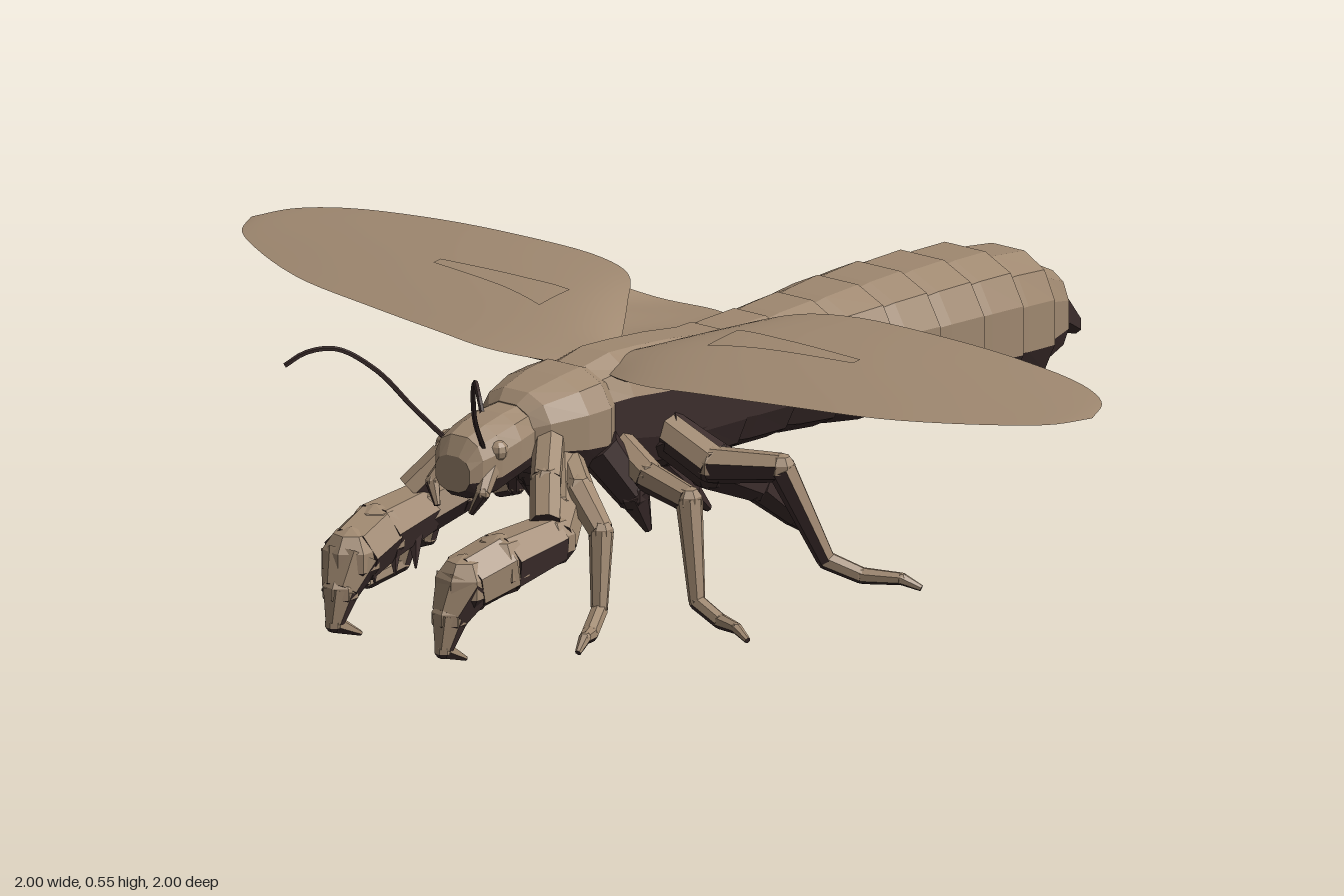
import * as THREE from 'three';
import { mergeGeometries } from 'three/addons/utils/BufferGeometryUtils.js';

const material = (name, color, flatShading) => {
  const m = new THREE.MeshStandardMaterial({ color, flatShading });
  m.name = name;
  return m;
};
const shell = material('tan shell', 0x9f8870, true);
const belly = material('dark belly', 0x3c2d2c, true);
const wingTop = material('tan wing', 0x9f8870, false);
const wingUnder = material('dark wing underside', 0x352a26, false);

// Splits a geometry in two groups: tan faces, then faces whose normal points below the limit
function twoTone(geo, limit) {
  const p = geo.index ? geo.toNonIndexed().attributes.position : geo.attributes.position;
  const upper = [], lower = [];
  const tri = new THREE.Triangle(), n = new THREE.Vector3();
  for (let i = 0; i < p.count; i += 3) {
    tri.setFromAttributeAndIndices(p, i, i + 1, i + 2);
    if (tri.getArea() < 1e-9) continue;
    const list = tri.getNormal(n).y < limit ? lower : upper;
    for (const v of [tri.a, tri.b, tri.c]) list.push(v.x, v.y, v.z);
  }
  const g = new THREE.BufferGeometry();
  g.setAttribute('position', new THREE.Float32BufferAttribute(upper.concat(lower), 3));
  g.addGroup(0, upper.length / 3, 0);
  g.addGroup(upper.length / 3, lower.length / 3, 1);
  g.computeVertexNormals();
  return g;
}

// Closed body from rounded sections: [z, bottom, top, half width], listed front to back
function loft(sections, sides = 12) {
  const pos = [], idx = [];
  const round = (v) => Math.sign(v) * Math.pow(Math.abs(v), 0.8);
  for (const [z, lo, hi, w] of sections) {
    for (let i = 0; i < sides; i++) {
      const a = ((i + 0.5) / sides) * Math.PI * 2;
      pos.push(w * round(Math.cos(a)), (lo + hi) / 2 + ((hi - lo) / 2) * round(Math.sin(a)), z);
    }
  }
  const n = sections.length;
  for (let k = 0; k < n - 1; k++) {
    for (let i = 0; i < sides; i++) {
      const a = k * sides + i, b = k * sides + ((i + 1) % sides);
      idx.push(a, a + sides, b, b, a + sides, b + sides);
    }
  }
  for (let i = 1; i < sides - 1; i++) {
    const e = (n - 1) * sides;
    idx.push(0, i, i + 1, e, e + i + 1, e + i);
  }
  const g = new THREE.BufferGeometry();
  g.setAttribute('position', new THREE.Float32BufferAttribute(pos, 3));
  g.setIndex(idx);
  return g;
}

// Tapered rod from point a to point b
function rod(a, b, ra, rb, sides = 7) {
  const dir = b.clone().sub(a);
  const g = new THREE.CylinderGeometry(rb, ra, dir.length(), sides);
  g.applyQuaternion(new THREE.Quaternion().setFromUnitVectors(new THREE.Vector3(0, 1, 0), dir.normalize()));
  const m = a.clone().add(b).multiplyScalar(0.5);
  return g.translate(m.x, m.y, m.z);
}

// Jointed limb through [x, y, z, radius] points
function limb(points, s) {
  const v = points.map(([x, y, z]) => new THREE.Vector3(x * s, y, z));
  const parts = [];
  for (let i = 0; i < v.length - 1; i++) {
    parts.push(rod(v[i], v[i + 1], points[i][3], points[i + 1][3]));
    if (i) parts.push(new THREE.SphereGeometry(points[i][3], 7, 5).translate(v[i].x, v[i].y, v[i].z));
  }
  return mergeGeometries(parts);
}

// Curved sheet between a leading and a trailing edge, bulging by hump (negative: underside); area picks a patch
const whole = { u: [0, 1], v: [0, 1], end: [0, 1], lift: 0 };
function sheet([lead, trail], s, hump, area = whole) {
  const curve = (p) => new THREE.CatmullRomCurve3(p.map((q) => new THREE.Vector3(...q)));
  const front = curve(lead), back = curve(trail);
  const nu = 36, nv = 10, pos = [], idx = [];
  const mix = THREE.MathUtils.lerp;
  const outward = s * hump > 0;
  for (let i = 0; i <= nu; i++) {
    const t = i / nu, u = mix(...area.u, t);
    const a = front.getPoint(u), b = back.getPoint(u);
    for (let j = 0; j <= nv; j++) {
      const v = mix(mix(area.v[0], area.end[0], t), mix(area.v[1], area.end[1], t), j / nv);
      const y = mix(a.y, b.y, 1 - (1 - v) ** 2) + hump * Math.sin(Math.PI * v) * (1 - u) + area.lift;
      pos.push(s * mix(a.x, b.x, v), y, mix(a.z, b.z, v));
      if (i < nu && j < nv) {
        const k = i * (nv + 1) + j, r = k + nv + 1;
        idx.push(...(outward ? [k, r, k + 1, k + 1, r, r + 1] : [k, k + 1, r, k + 1, r + 1, r]));
      }
    }
  }
  const g = new THREE.BufferGeometry();
  g.setAttribute('position', new THREE.Float32BufferAttribute(pos, 3));
  g.setIndex(idx);
  g.computeVertexNormals();
  return g;
}

// Leading and trailing wing edges on the +x side
const forewing = [
  [[.03, .43, .4], [.12, .44, .445], [.2, .447, .465], [.3, .454, .46], [.5, .46, .43],
    [.7, .463, .385], [.88, .466, .295], [.965, .468, .23], [1, .47, .16]],
  [[.03, .44, .27], [.12, .47, .14], [.2, .487, .04], [.3, .494, .005], [.5, .496, 0],
    [.7, .49, .005], [.88, .481, .035], [.965, .475, .085], [1, .47, .155]]];
const hindwing = [
  [[.06, .4, .25], [.2, .4, .2], [.32, .4, .12], [.44, .4, .04], [.51, .399, -.03], [.545, .395, -.1], [.553, .385, -.17]],
  [[.06, .39, -.03], [.13, .355, -.18], [.2, .322, -.28], [.3, .31, -.335], [.42, .315, -.315],
    [.52, .355, -.24], [.553, .382, -.175]]];

// Limbs on the +x side
const limbs = {
  secondLeg: [[.06, .31, .54, .03], [.14, .27, .6, .03], [.215, .21, .625, .024], [.235, .07, .655, .016],
    [.265, .045, .72, .016], [.295, .055, .77, .012], [.303, .035, .8, .006]],
  thirdLeg: [[.07, .3, .4, .03], [.17, .26, .43, .03], [.285, .245, .455, .026], [.32, .06, .475, .016],
    [.38, .035, .48, .015], [.43, .035, .495, .011], [.465, .02, .505, .006]],
  fourthLeg: [[.07, .3, .27, .035], [.19, .25, .27, .036], [.32, .26, .23, .028], [.37, .075, .16, .018],
    [.43, .05, .13, .016], [.5, .05, .1, .012], [.535, .035, .085, .006]],
  innerRearLeg: [[.07, .3, .28, .045], [.1, .21, .17, .048], [.12, .15, .06, .034], [.125, .07, -.04, .024],
    [.125, .018, -.1, .008]],
  hipLobe: [[.08, .31, .47, .045], [.12, .22, .42, .036], [.13, .14, .385, .008]],
  diggingArm: [[.06, .31, .56, .04], [.12, .23, .63, .045], [.155, .2, .7, .05], [.148, .185, .84, .06],
    [.135, .165, .925, .058], [.13, .11, .962, .036], [.13, .05, .98, .018], [.125, .016, .91, .005]],
  upperArm: [[.07, .35, .6, .03], [.12, .3, .67, .03], [.16, .24, .72, .03]],
  feeler: [[.045, .33, .74, .02], [.06, .29, .78, .014], [.04, .25, .79, .006]],
};
const darkLimbs = ['innerRearLeg', 'hipLobe'];

export function createModel() {
  const model = new THREE.Group();
  const add = (name, geo, mat) => {
    const m = new THREE.Mesh(geo, mat);
    m.name = name;
    model.add(m);
  };
  const addTwoTone = (name, geo, limit) => add(name, twoTone(geo, limit), [shell, belly]);

  // Head, collar and thorax
  addTwoTone('head', loft([[.795, .285, .355, .042], [.775, .27, .39, .058], [.73, .265, .405, .068],
    [.68, .28, .415, .072], [.61, .29, .42, .06]]), -.2);
  addTwoTone('collar', loft([[.635, .3, .42, .06], [.61, .28, .44, .085], [.53, .26, .455, .112],
    [.47, .25, .46, .115], [.43, .26, .445, .09]]), -.2);
  addTwoTone('thorax', loft([[.47, .26, .45, .085], [.38, .23, .465, .095], [.3, .21, .46, .095],
    [.2, .2, .45, .097], [.1, .2, .435, .097]]), .3);

  // Overlapping abdomen rings: front z, rear z, then bottom, top and half width at each end
  const rings = [
    [.22, .06, .2, .43, .09, .19, .435, .102], [.08, -.07, .2, .425, .098, .19, .43, .112],
    [-.06, -.2, .2, .42, .108, .18, .43, .124], [-.19, -.325, .19, .42, .118, .165, .432, .142],
    [-.315, -.445, .175, .422, .134, .15, .43, .15], [-.435, -.57, .16, .418, .142, .14, .422, .152],
    [-.56, -.695, .15, .408, .138, .13, .408, .143], [-.685, -.82, .14, .39, .128, .122, .378, .114],
    [-.81, -.925, .135, .36, .1, .15, .31, .06],
  ];
  rings.forEach(([zf, zr, l0, t0, w0, l1, t1, w1], i) => {
    const mid = (zf * 2 + zr) / 3;
    addTwoTone('abdomenRing' + (i + 1), loft([
      [zf, l0, t0, w0], [mid, (l0 * 2 + l1) / 3 - .003, (t0 * 2 + t1) / 3 + .004, (w0 * 2 + w1) / 3 + .003],
      [zr, l1, t1, w1]]), i < 3 ? .3 : -.2);
  });
  addTwoTone('tailTip', loft([[-.91, .18, .295, .052], [-.95, .18, .27, .044], [-1, .165, .21, .028]], 8), .2);

  for (const s of [1, -1]) {
    const side = s > 0 ? 'left' : 'right';
    // Wings, tan above and dark below, with a raised panel on the front pair
    add(side + 'ForewingTop', sheet(forewing, s, .012), wingTop);
    add(side + 'ForewingUnderside', sheet(forewing, s, -.055), wingUnder);
    add(side + 'ForewingPanel', sheet(forewing, s, .012,
      { u: [.25, .5], v: [.39, .6], end: [.44, .49], lift: .008 }), wingTop);
    add(side + 'HindwingTop', sheet(hindwing, s, .006), wingTop);
    add(side + 'HindwingUnderside', sheet(hindwing, s, -.012), wingUnder);

    for (const [name, points] of Object.entries(limbs)) {
      const title = side + name[0].toUpperCase() + name.slice(1);
      if (darkLimbs.includes(name)) add(title, limb(points, s), belly);
      else addTwoTone(title, limb(points, s), -.1);
    }

    // Teeth under the digging arm
    const teeth = [0, 1, 2].map((i) => rod(
      new THREE.Vector3(s * .12, .17, .76 + i * .06), new THREE.Vector3(s * .1, .115, .78 + i * .06), .016, .002, 5));
    add(side + 'ArmTeeth', mergeGeometries(teeth), belly);

    // Eye and antenna
    add(side + 'Eye', new THREE.SphereGeometry(.02, 8, 6).translate(s * .055, .36, .73), shell);
    const path = new THREE.CatmullRomCurve3([[.045, .37, .76], [.075, .44, .82], [.115, .515, .875], [.165, .56, .93],
      [.205, .555, .97], [.235, .53, .995]].map(([x, y, z]) => new THREE.Vector3(x * s, y, z)));
    add(side + 'Antenna', new THREE.TubeGeometry(path, 24, .005, 5), belly);
  }
  return model;
}
